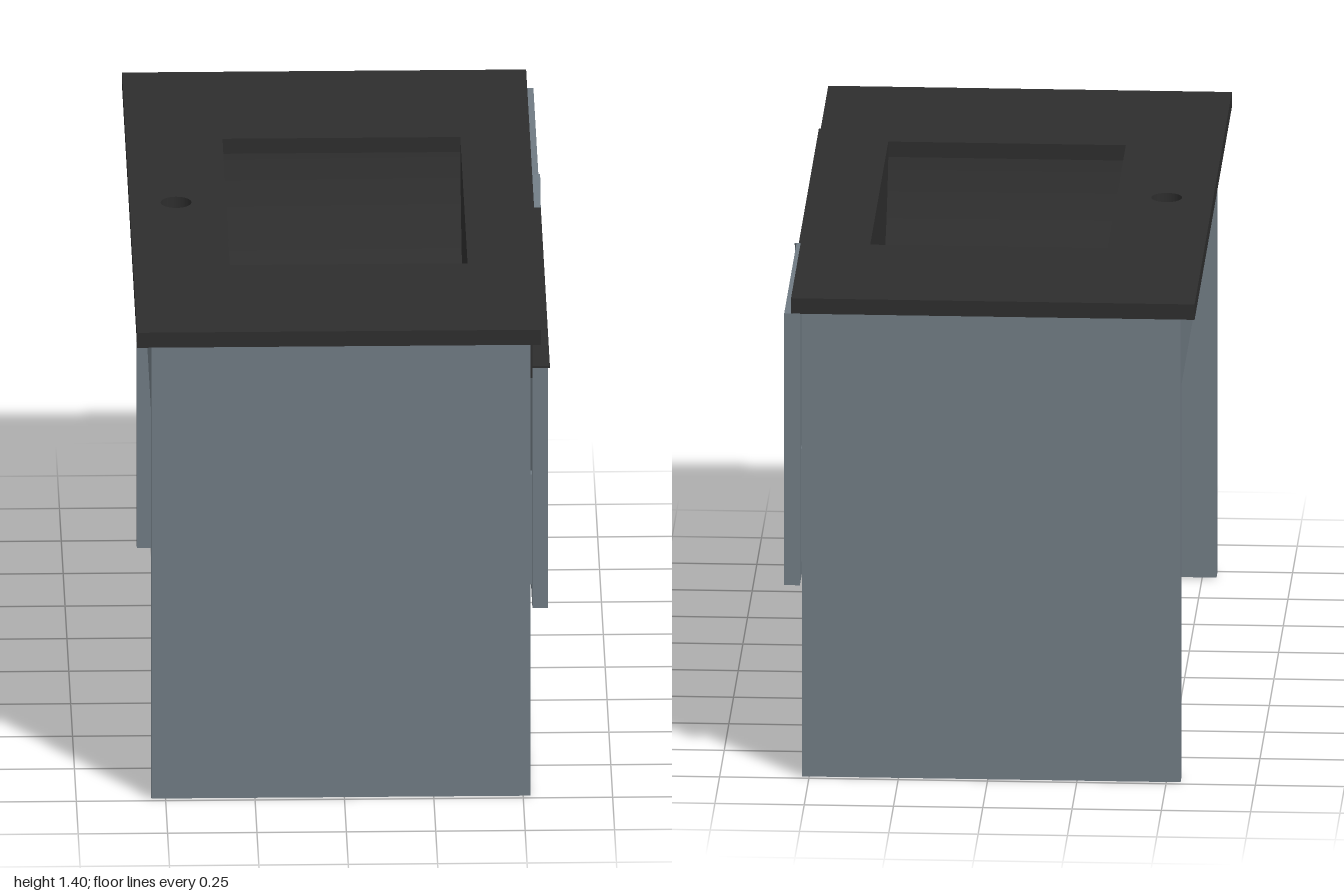
import * as THREE from 'three';
import { toCreasedNormals } from 'three/addons/utils/BufferGeometryUtils.js';

export function createModel() {
  const group = new THREE.Group();
  group.name = 'vanityCabinet';
  const grey = new THREE.MeshStandardMaterial({ color: 0x6f7a82 });
  grey.name = 'slateGrey';
  const black = new THREE.MeshStandardMaterial({ color: 0x2d2d2d });
  black.name = 'charcoalBlack';

  const add = (name, geo, mat) => {
    const mesh = new THREE.Mesh(geo, mat);
    mesh.name = name;
    group.add(mesh);
    return mesh;
  };
  // Box given by its limits on each axis
  const box = (name, mat, [x0, x1], [y0, y1], [z0, z1]) => {
    const geo = new THREE.BoxGeometry(x1 - x0, y1 - y0, z1 - z0);
    geo.translate((x0 + x1) / 2, (y0 + y1) / 2, (z0 + z1) / 2);
    return add(name, geo, mat);
  };
  const polygon = (pts) => new THREE.Shape(pts.map(([a, b]) => new THREE.Vector2(a, b)));
  const rect = (x0, x1, z) => polygon([[x0, -z], [x1, -z], [x1, z], [x0, z]]);
  const circle = (x, r) => new THREE.Path().absarc(x, 0, r, 0, Math.PI * 2, true);
  // Outline in (-z, y) pushed along x
  const alongX = (shape, x0, x1) => {
    const geo = new THREE.ExtrudeGeometry(shape, { depth: x1 - x0, bevelEnabled: false, curveSegments: 24 });
    return geo.rotateY(Math.PI / 2).translate(x0, 0, 0);
  };
  // Outline in (x, -z) pushed up along y
  const alongY = (shape, y0, y1) => {
    const geo = new THREE.ExtrudeGeometry(shape, { depth: y1 - y0, bevelEnabled: false, curveSegments: 24 });
    return geo.rotateX(-Math.PI / 2).translate(0, y0, 0);
  };

  // Carcass: open box with a set-in lower back and an upper back rail
  for (const s of [-1, 1]) {
    const z = s > 0 ? [0.943, 0.983] : [-0.983, -0.943];
    box('sidePanel', grey, [-0.54, 0.52], [0, 1.36], z);
  }
  box('bottomPanel', grey, [-0.37, 0.52], [0.005, 0.045], [-0.943, 0.943]);
  box('lowerBackPanel', grey, [-0.37, -0.33], [0.045, 0.5], [-0.943, 0.943]);
  box('upperBackRail', grey, [-0.54, -0.5], [1.15, 1.36], [-0.943, 0.943]);

  // Drawer front with a slanted finger notch along the top
  add('drawerFront', alongX(polygon([
    [-0.975, 0.56], [0.985, 0.56], [0.985, 1.355], [0.32, 1.355], [0.24, 1.28], [-0.975, 1.28],
  ]), 0.526, 0.57), grey);
  box('gripStrip', black, [0.522, 0.575], [1.28, 1.287], [-0.24, 0.975]);
  box('gripBack', black, [0.52, 0.526], [1.25, 1.355], [-0.32, 0.975]);
  add('gripEnd', alongX(polygon([
    [0.24, 1.28], [0.246, 1.28], [0.326, 1.355], [0.32, 1.355], [0.24, 1.287],
  ]), 0.526, 0.575), grey);

  // Drawer box, U-shaped around the plumbing
  const t = 0.03, h = [0.61, 0.94];
  for (const s of [-1, 1]) {
    const span = (a, b) => (s > 0 ? [a, b] : [-b, -a]);
    box('drawerSide', grey, [-0.31, 0.526], h, span(0.89, 0.92));
    box('drawerBack', grey, [-0.31, -0.31 + t], h, span(0.18, 0.89));
    box('drawerCutoutSide', grey, [-0.31 + t, 0.25], h, span(0.18, 0.18 + t));
  }
  box('drawerCutoutFront', grey, [0.25, 0.25 + t], h, [-0.21, 0.21]);
  add('drawerFloor', alongY(polygon([
    [-0.28, -0.89], [0.526, -0.89], [0.526, 0.89], [-0.28, 0.89],
    [-0.28, 0.2], [0.26, 0.2], [0.26, -0.2], [-0.28, -0.2],
  ]), 0.62, 0.64), grey);

  // Countertop with basin opening and tap hole
  const bx0 = -0.31, bx1 = 0.355, bz = 0.485, rim = 1.36;
  const top = rect(-0.58, 0.55, 1);
  top.holes.push(rect(bx0, bx1, bz), circle(-0.45, 0.043));
  add('countertop', alongY(top, rim, 1.405), black);

  // Basin: scooped trough closed by two end walls
  const depth = 0.32, wall = 0.03;
  const r = (bz * bz + depth * depth) / (2 * depth);
  const cy = rim - depth + r;
  const R = r + wall;
  const flat = 0.08;
  const edge = Math.asin(bz / r), outerEdge = Math.acos((cy - rim) / R);
  const down = -Math.PI / 2;
  for (const s of [-1, 1]) {
    const scoop = new THREE.Shape();
    scoop.absarc(0, cy, r, down + s * Math.asin(flat / r), down + s * edge, s < 0);
    scoop.absarc(0, cy, R, down + s * outerEdge, down + s * Math.asin(flat / R), s > 0);
    add('basinScoop', toCreasedNormals(alongX(scoop, bx0, bx1), 0.4), black);
  }
  const floorY = cy - Math.sqrt(r * r - flat * flat);
  const floor = rect(bx0, bx1, flat);
  floor.holes.push(circle(0.02, 0.056));
  add('basinFloor', alongY(floor, floorY - wall, floorY), black);
  const end = new THREE.Shape();
  end.absarc(0, cy, R, down - outerEdge, down + outerEdge, false);
  add('basinEndWall', alongX(end, bx0 - wall, bx0), black);
  add('basinEndWall', alongX(end, bx1, bx1 + wall), black);

  return group;
}
